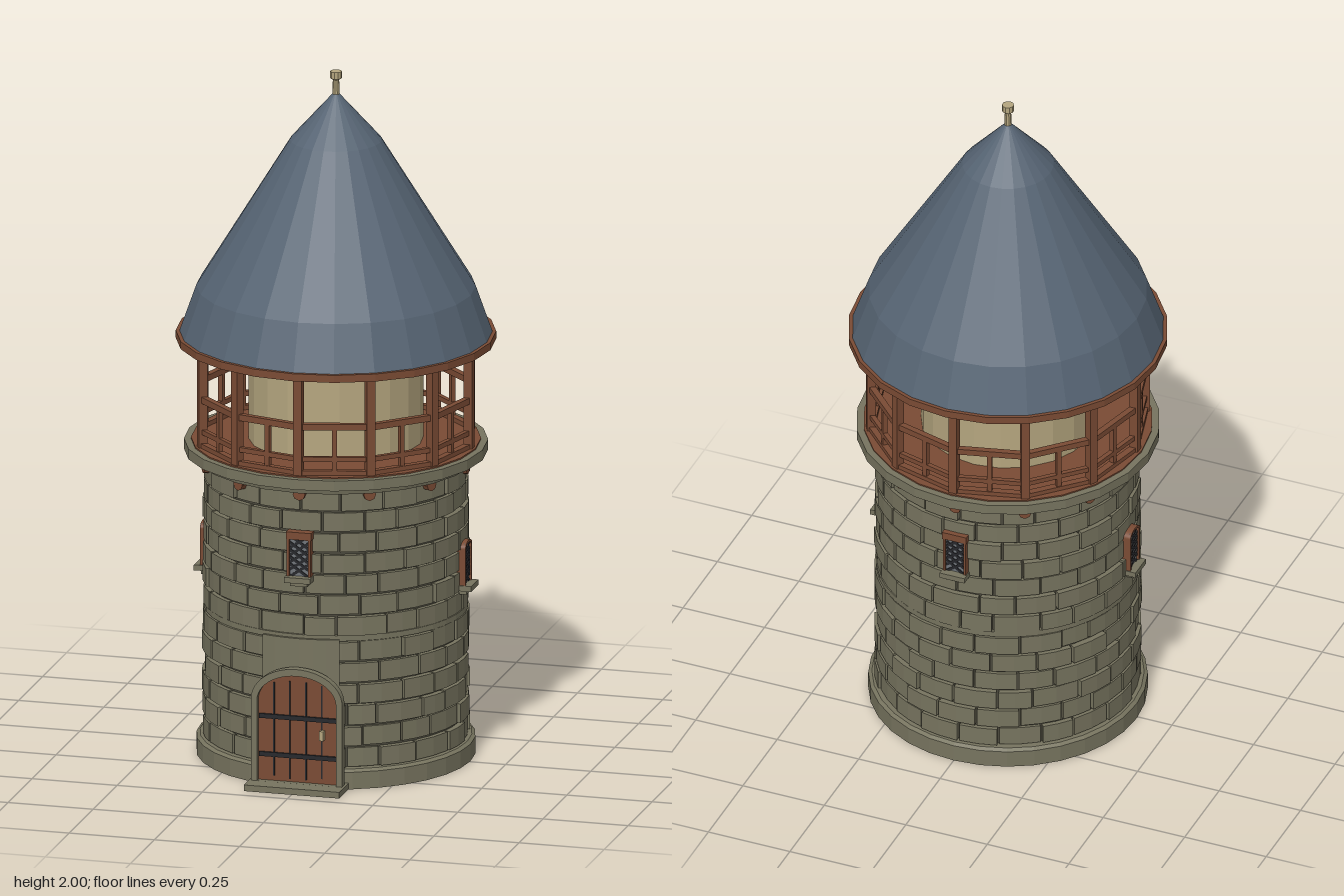
import * as THREE from 'three';
import { mergeGeometries } from 'three/addons/utils/BufferGeometryUtils.js';

const mat = (name, color, extra = {}) => {
  const m = new THREE.MeshStandardMaterial({ color, flatShading: true, ...extra });
  m.name = name;
  return m;
};

export function createModel() {
  const stone = mat('stone', 0x77745f);
  const mortar = mat('mortar', 0x49473b);
  const slate = mat('slate', 0x566473);
  const wood = mat('wood', 0x7a4b34);
  const plaster = mat('plaster', 0xb5a67f);
  const iron = mat('iron', 0x26272b);
  const glass = mat('glass', 0x70757a);

  const model = new THREE.Group();
  model.name = 'tower';
  const tower = new THREE.Group();
  tower.name = 'towerParts';
  tower.position.z = -0.007;
  model.add(tower);

  let seed = 7;
  const rand = () => (seed = (seed * 16807) % 2147483647) / 2147483647;

  const add = (name, geometry, material, parent = tower) => {
    const m = new THREE.Mesh(geometry, material);
    m.name = name;
    parent.add(m);
    return m;
  };
  const box = (name, w, h, d, x, y, z, material, parent) => {
    const m = add(name, new THREE.BoxGeometry(w, h, d), material, parent);
    m.position.set(x, y, z);
    return m;
  };
  const lathe = (name, points, sides, material) =>
    add(name, new THREE.LatheGeometry(points.map(p => new THREE.Vector2(...p)), sides), material);
  // Group turned around the tower axis, its +z pointing outward
  const spoke = (name, angle) => {
    const g = new THREE.Group();
    g.name = name;
    g.rotation.y = angle;
    tower.add(g);
    return g;
  };

  // Box bent around the tower axis
  const bentBlock = (r0, r1, y0, y1, a0, a1, segs = 2) => {
    const g = new THREE.BoxGeometry(1, 1, 1, segs, 1, 1);
    const p = g.attributes.position;
    for (let i = 0; i < p.count; i++) {
      const a = a0 + (p.getX(i) + 0.5) * (a1 - a0);
      const r = r0 + (p.getZ(i) + 0.5) * (r1 - r0);
      p.setXYZ(i, Math.sin(a) * r, y0 + (p.getY(i) + 0.5) * (y1 - y0), Math.cos(a) * r);
    }
    g.computeVertexNormals();
    return g;
  };

  // Base, wall core and middle band
  lathe('base', [[0, 0], [0.395, 0], [0.395, 0.05], [0.385, 0.057], [0.3, 0.057]], 32, stone);
  lathe('wallCore', [[0.362, 0.05], [0.362, 0.88]], 40, mortar);
  lathe('middleBand', [[0.35, 0.43], [0.374, 0.43], [0.374, 0.446], [0.35, 0.446]], 40, stone);

  // Stone courses
  const courses = (name, y0, y1, rows) => {
    const h = (y1 - y0) / rows, n = 20, step = Math.PI * 2 / n;
    for (let r = 0; r < rows; r++) {
      const cuts = Array.from({ length: n }, (_, i) => (i + (r % 2) * 0.5 + (rand() - 0.5) * 0.3) * step);
      cuts.push(cuts[0] + Math.PI * 2);
      const blocks = [];
      for (let i = 0; i < n; i++) {
        const y = y0 + r * h;
        blocks.push(bentBlock(0.35, 0.37 + rand() * 0.01, y + 0.003, y + h - 0.003 - rand() * 0.003,
          cuts[i] + 0.009, cuts[i + 1] - 0.009));
      }
      add(name + (r + 1), mergeGeometries(blocks), stone);
    }
  };
  courses('lowerCourse', 0.057, 0.432, 6);
  courses('upperCourse', 0.444, 0.872, 7);
  add('doorLintelStone', bentBlock(0.35, 0.382, 0.3, 0.436, -0.3, 0.3, 6), stone);

  // Door with arched stone surround
  const arch = (w, y0, spring, top) => {
    const s = new THREE.Shape();
    s.moveTo(-w, y0);
    s.lineTo(w, y0);
    s.lineTo(w, spring);
    s.absellipse(0, spring, w, top - spring, 0, Math.PI, false);
    s.lineTo(-w, y0);
    return s;
  };
  const extrude = (shape, depth) =>
    new THREE.ExtrudeGeometry(shape, { depth, bevelEnabled: false, curveSegments: 12 });
  const door = spoke('door', 0);
  add('doorLeaf', extrude(arch(0.118, 0.018, 0.255, 0.335), 0.055), wood, door).position.z = 0.342;
  const surround = arch(0.134, 0.018, 0.258, 0.354);
  surround.holes.push(arch(0.116, 0.0181, 0.255, 0.334));
  add('doorSurround', extrude(surround, 0.025), stone, door).position.z = 0.388;
  for (const x of [-0.07, -0.024, 0.024, 0.07])
    box('plankGap', 0.004, 0.295 - Math.abs(x) * 0.3, 0.003, x, 0.17, 0.398, iron, door);
  for (const y of [0.095, 0.207]) box('doorStrap', 0.226, 0.013, 0.006, 0, y, 0.4, iron, door);
  box('doorHandle', 0.012, 0.028, 0.016, 0.073, 0.163, 0.406, plaster, door);
  box('doorStep', 0.28, 0.018, 0.12, 0, 0.009, 0.405, stone, door);

  // Latticed windows: flat-headed front and back, arched at the sides
  const addWindow = (name, angle, y0, arched) => {
    const g = spoke(name, angle);
    const h = 0.135, w = 0.028;
    box('windowSill', 0.076, 0.016, 0.06, 0, y0, 0.377, stone, g);
    box('windowSupport', 0.05, 0.014, 0.04, 0, y0 - 0.014, 0.37, stone, g);
    const outline = (e, bottom) => {
      if (arched) return arch(w + e, bottom, y0 + h - 0.022 + e * 0.3, y0 + h - 0.008 + e);
      const s = new THREE.Shape();
      const t = y0 + h - 0.008 + e;
      s.moveTo(-w - e, bottom);
      s.lineTo(w + e, bottom);
      s.lineTo(w + e, t);
      s.lineTo(-w - e, t);
      return s;
    };
    add('windowPane', extrude(outline(0.001, y0), 0.03), glass, g).position.z = 0.353;
    const frame = outline(0.007, y0);
    frame.holes.push(outline(0, y0 + 0.001));
    add('windowFrame', extrude(frame, 0.03), wood, g).position.z = 0.36;
    if (!arched) box('windowLintel', 0.074, 0.022, 0.03, 0, y0 + h - 0.008, 0.377, wood, g);
    for (let i = 0; i < 5; i++)
      for (const s of [-1, 1])
        box('latticeBar', 0.066, 0.0075, 0.003, 0, y0 + 0.024 + i * 0.021, 0.3845, iron, g).rotation.z = s * 0.6;
  };
  addWindow('frontWindow', 0, 0.613, false);
  addWindow('backWindow', Math.PI, 0.633, false);
  addWindow('leftWindow', Math.PI / 2, 0.517, true);
  addWindow('rightWindow', -Math.PI / 2, 0.517, true);

  // Gallery deck, wooden floor and inner room
  lathe('deck', [[0.35, 0.865], [0.395, 0.868], [0.4, 0.888], [0.43, 0.888], [0.43, 0.918], [0.37, 0.918]], 24, stone);
  lathe('galleryFloor', [[0.41, 0.915], [0.41, 0.922], [0, 0.922]], 24, wood);
  lathe('innerRoom', [[0.247, 0.92], [0.247, 1.17], [0, 1.17]], 20, plaster);

  // Twelve gallery bays with posts, rails, balusters and beam ends
  const R = 0.39, half = Math.PI / 12;
  const apothem = R * Math.cos(half), bay = 2 * R * Math.sin(half);
  for (let i = 0; i < 12; i++) {
    const post = spoke('galleryPost', i * half * 2);
    box('post', 0.025, 0.3, 0.025, 0, 1.068, R, wood, post);
    const end = add('beamEnd', new THREE.CylinderGeometry(0.018, 0.018, 0.03, 8), wood, post);
    end.rotation.x = Math.PI / 2;
    end.position.set(0, 0.862, 0.373);
    const rails = spoke('galleryBay', (i * 2 + 1) * half);
    box('topRail', bay, 0.018, 0.018, 0, 1.063, apothem, wood, rails);
    box('lowRail', bay, 0.014, 0.014, 0, 0.968, apothem, wood, rails);
    box('floorRail', bay, 0.014, 0.02, 0, 0.928, apothem, wood, rails);
    box('baluster', 0.014, 0.13, 0.014, 0, 0.993, apothem, wood, rails);
  }

  // Roof with wooden eaves and finial
  lathe('eaves', [[0, 1.214], [0.453, 1.214], [0.453, 1.236], [0.42, 1.236]], 24, wood);
  lathe('roof', [[0.443, 1.234], [0.395, 1.37], [0.13, 1.8], [0, 1.945]], 24, slate);
  lathe('finial', [[0.011, 1.92], [0.009, 1.975], [0.017, 1.98], [0.017, 2], [0, 2]], 10, plaster);

  return model;
}
